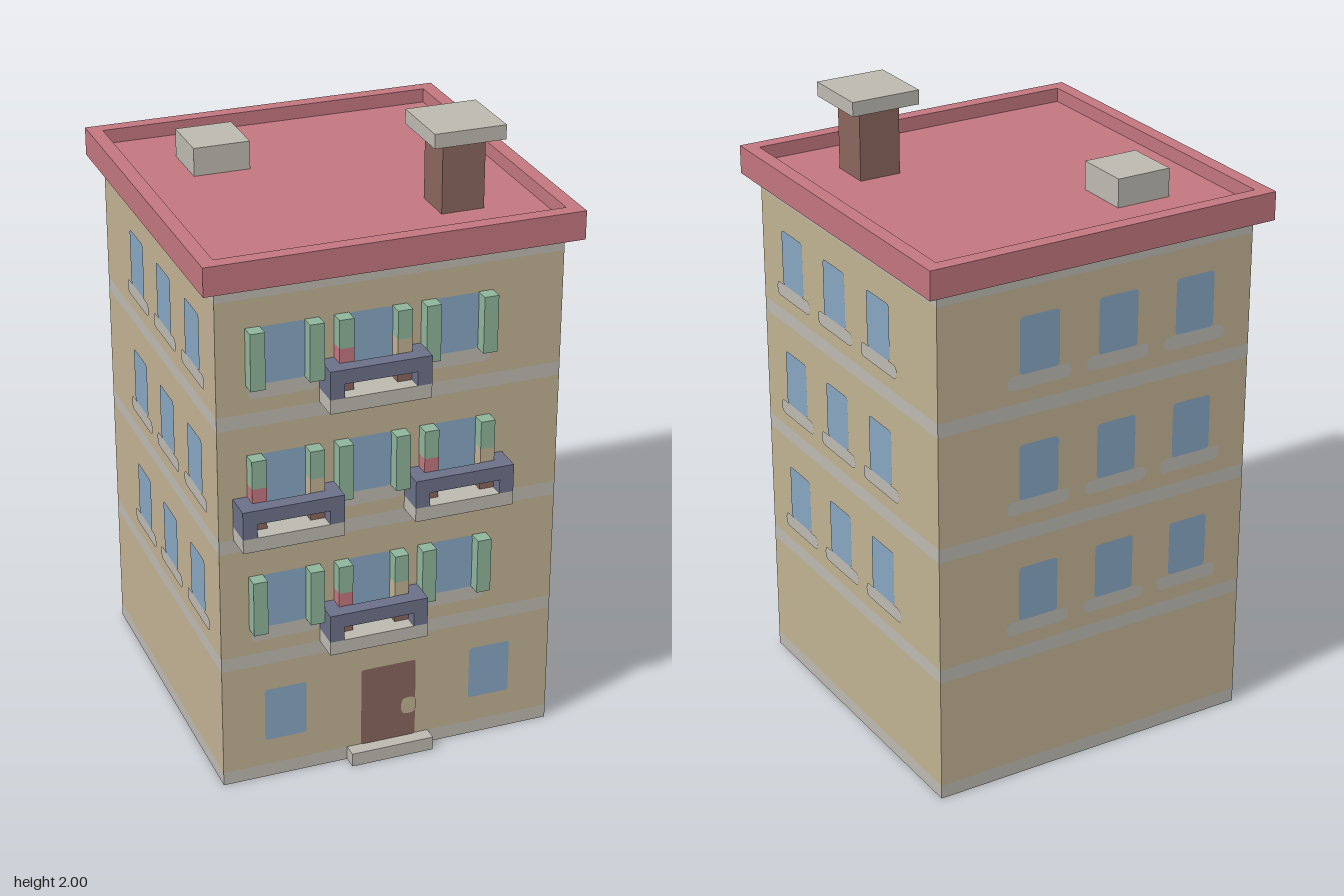
import * as THREE from 'three';

const V = 2 / 44; // one block of the building's grid

const mat = (name, color) => {
  const m = new THREE.MeshStandardMaterial({ color });
  m.name = name;
  return m;
};

export function createModel() {
  const wall = mat('sand wall', 0xc0b192);
  const stone = mat('grey stone', 0xbcb9b0);
  const glass = mat('blue glass', 0x87a6c1);
  const green = mat('green shutter', 0x8eb59b);
  const iron = mat('slate railing', 0x6b7088);
  const brown = mat('brown', 0x8a665e);
  const red = mat('roof red', 0xc2767f);

  const model = new THREE.Group();
  model.name = 'apartmentBuilding';

  // Box between two grid corners
  const box = (parent, name, m, x0, x1, y0, y1, z0, z1) => {
    const g = new THREE.BoxGeometry((x1 - x0) * V, (y1 - y0) * V, (z1 - z0) * V);
    const b = new THREE.Mesh(g, m);
    b.position.set((x0 + x1) / 2 * V, (y0 + y1) / 2 * V, (z0 + z1) / 2 * V);
    b.name = name;
    parent.add(b);
  };

  // Flat painted panel with rounded corners, lying on a wall
  const panel = (parent, name, m, x0, x1, y0, y1, r, lift = 0.003) => {
    const s = new THREE.Shape();
    s.moveTo(x0 + r, y0);
    s.lineTo(x1 - r, y0);
    s.quadraticCurveTo(x1, y0, x1, y0 + r);
    s.lineTo(x1, y1 - r);
    s.quadraticCurveTo(x1, y1, x1 - r, y1);
    s.lineTo(x0 + r, y1);
    s.quadraticCurveTo(x0, y1, x0, y1 - r);
    s.lineTo(x0, y0 + r);
    s.quadraticCurveTo(x0, y0, x0 + r, y0);
    const g = new THREE.ShapeGeometry(s, 4);
    g.scale(V, V, 1);
    const p = new THREE.Mesh(g, m);
    p.position.z = 12 * V + lift;
    p.name = name;
    parent.add(p);
  };

  // Walls in storeys, with a stone course below each one and under the roof
  for (let i = 0; i < 4; i++) {
    box(model, 'stoneCourse', stone, -12, 12, i * 9, i * 9 + 1, -12.5, 11.5);
    box(model, 'storeyWall', wall, -12, 12, i * 9 + 1, i * 9 + 9, -12.5, 11.5);
  }
  box(model, 'topCourse', stone, -12, 12, 36, 37, -12.5, 11.5);

  // Flat roof with raised rim
  box(model, 'roofSlab', red, -13, 13, 37, 38, -13.5, 12.5);
  for (const [a, b] of [[-13, -12], [12, 13]]) {
    box(model, 'roofRim', red, a, b, 38, 39, -13.5, 12.5);
    box(model, 'roofRim', red, -12, 12, 38, 39, a - 0.5, b - 0.5);
  }
  box(model, 'roofHatch', stone, -8, -4, 38, 40, -8.5, -4.5);
  box(model, 'chimney', brown, 5, 8, 38, 43, 4.5, 7.5);
  box(model, 'chimneyCap', stone, 4, 9, 43, 44, 3.5, 8.5);

  // Windows and sills on all four walls
  const columns = [-7.5, -1.5, 4.5];
  const floors = [12, 21, 30];
  const faces = ['front', 'right', 'back', 'left'].map((side, i) => {
    const face = new THREE.Group();
    face.name = side + 'Wall';
    face.rotation.y = i * Math.PI / 2;
    face.position.z = -0.5 * V;
    const mirror = i > 1 ? -1 : 1;
    for (const y of floors) for (const c of columns) {
      const u = c * mirror;
      panel(face, 'window', glass, u - 1.5, u + 1.5, y, y + 4, 0.3);
      panel(face, 'windowSill', stone, u - 2.4, u + 2.4, y - 1, y, 0.45);
    }
    model.add(face);
    return face;
  });

  // Ground floor windows, door and step
  panel(faces[0], 'groundWindow', glass, -9, -6, 3, 7, 0.2);
  panel(faces[0], 'groundWindow', glass, 6, 9, 3, 7, 0.2);
  panel(faces[0], 'door', brown, -2, 2, 1, 7, 0.2);
  panel(faces[0], 'doorHandle', wall, 0.95, 2.03, 2.8, 4.1, 0.45, 0.005);
  box(model, 'doorStep', stone, -3, 3, 0, 1, 11.5, 12.5);

  // Balcony with railing and two potted plants
  const balcony = (c, y) => {
    const g = new THREE.Group();
    g.name = 'balcony';
    box(g, 'balconyFloor', stone, c - 3.5, c + 3.5, y - 2, y - 1, 11.5, 13.5);
    box(g, 'topRail', iron, c - 2.5, c + 2.5, y, y + 1, 12.5, 13.5);
    for (const s of [-1, 1]) {
      const x = c + s * 3;
      box(g, 'sideRail', iron, x - 0.5, x + 0.5, y - 1, y + 1, 11.5, 13.5);
      const p = c + s * 2;
      box(g, 'plantPot', brown, p - 0.5, p + 0.5, y - 1, y, 11.5, 12.5);
      box(g, 'plant', s < 0 ? red : wall, p - 0.5, p + 0.5, y, y + 2, 11.5, 12.5);
    }
    model.add(g);
  };

  // Shutters beside the front windows, shorter above balcony plants
  floors.forEach((y, f) => columns.forEach((c, k) => {
    const hasBalcony = (f === 1) !== (k === 1);
    if (hasBalcony) balcony(c, y);
    for (const s of [-1, 1]) {
      const x = c + s * 2;
      box(model, 'shutter', green, x - 0.5, x + 0.5, hasBalcony ? y + 2 : y, y + 4, 11.5, 12.5);
    }
  }));

  return model;
}
